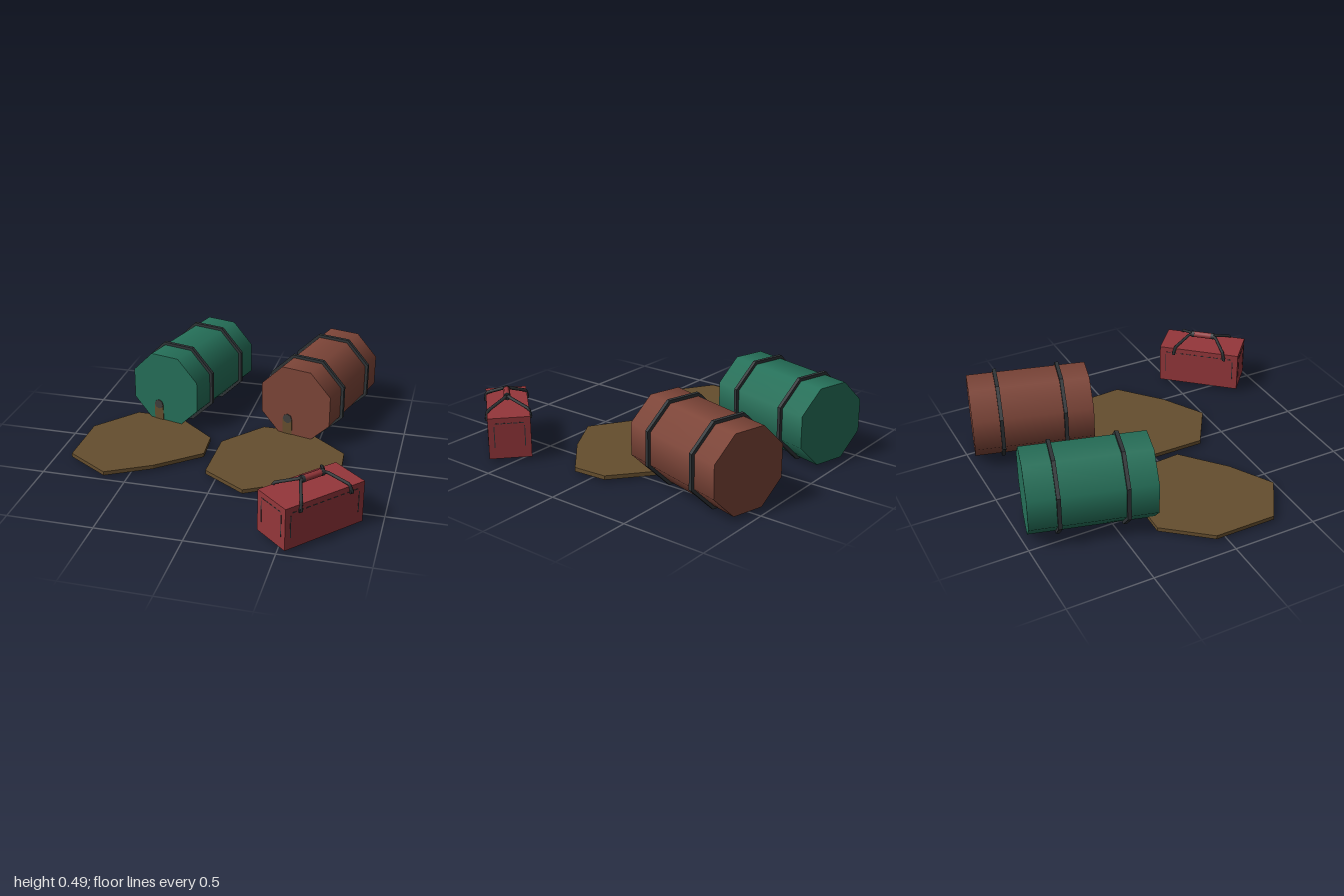
import * as THREE from 'three';

const paint = (name, color) => {
  const m = new THREE.MeshStandardMaterial({ color });
  m.name = name;
  return m;
};

export function createModel() {
  const root = new THREE.Group();
  root.name = 'barrelsAndBag';
  const green = paint('barrel green', 0x257059);
  const rust = paint('barrel rust', 0x7d4538);
  const iron = paint('dark iron', 0x2f3437);
  const soot = paint('hole grey', 0x403f3d);
  const mud = paint('spill brown', 0x654e2e);
  const red = paint('bag red', 0x94363a);

  const add = (parent, name, geo, mat, x = 0, y = 0, z = 0) => {
    const m = new THREE.Mesh(geo, mat);
    m.name = name;
    m.position.set(x, y, z);
    parent.add(m);
    return m;
  };

  // octagon with a flat top, given the distance from centre to side
  const octagon = (apothem, Type = THREE.Shape) => {
    const r = apothem / Math.cos(Math.PI / 8);
    const pts = [];
    for (let i = 0; i < 8; i++) {
      const a = (i + 0.5) * Math.PI / 4;
      pts.push(new THREE.Vector2(r * Math.cos(a), r * Math.sin(a)));
    }
    return new Type(pts);
  };

  // barrel lying along z, with two hoops and a leaking hole
  const hoopShape = octagon(0.247);
  hoopShape.holes.push(octagon(0.225, THREE.Path));
  const hoopGeo = new THREE.ExtrudeGeometry(hoopShape, { depth: 0.022, bevelEnabled: false });
  hoopGeo.translate(0, 0, -0.011);
  const bodyGeo = new THREE.CylinderGeometry(0.248, 0.248, 0.713, 8);
  bodyGeo.rotateY(Math.PI / 8).rotateX(Math.PI / 2);

  const makeBarrel = (name, mat, x) => {
    const g = new THREE.Group();
    g.name = name;
    g.position.set(x, 0.249, -0.595);
    g.rotation.y = -0.26;
    add(g, 'barrelBody', bodyGeo, mat);
    for (const z of [-0.188, 0.188]) add(g, 'hoop', hoopGeo, iron, 0, 0, z);
    add(g, 'leakStreak', new THREE.BoxGeometry(0.062, 0.115, 0.006), mud, -0.05, -0.165, 0.358);
    const hole = add(g, 'leakHole', new THREE.CylinderGeometry(0.03, 0.03, 0.008, 8), soot, -0.05, -0.108, 0.358);
    hole.rotation.x = Math.PI / 2;
    root.add(g);
  };

  // flat spill on the ground in front of each barrel
  const spillShape = new THREE.Shape([
    [-0.895, -0.06], [-0.895, 0.31], [-0.635, 0.475], [-0.38, 0.33],
    [-0.13, 0.115], [-0.145, -0.09], [-0.41, -0.31], [-0.685, -0.315],
  ].map(([x, z]) => new THREE.Vector2(x, -z)));
  const spillGeo = new THREE.ExtrudeGeometry(spillShape, { depth: 0.024, bevelEnabled: false });
  spillGeo.rotateX(-Math.PI / 2);

  const gap = 0.828;
  makeBarrel('greenBarrel', green, -0.388);
  makeBarrel('rustBarrel', rust, -0.388 + gap);
  for (const dx of [0, gap]) add(root, 'spill', spillGeo, mud, dx, 0.014, 0);

  // bag: long side along its own x
  const bag = new THREE.Group();
  bag.name = 'bag';
  bag.position.set(0.626, 0, 0.716);
  bag.rotation.y = 0.84;
  root.add(bag);
  const L = 0.52, H = 0.248, W = 0.244, top = 0.27;
  add(bag, 'bagBody', new THREE.BoxGeometry(L, H, W), red, 0, top - H / 2, 0);

  // stitches: a dashed row under the top edge and a seam down each side
  const seamPanel = (width, depth, angle) => {
    const g = new THREE.Group();
    g.name = 'stitching';
    g.rotation.y = angle;
    const half = width / 2 - 0.035;
    const n = Math.round(width / 0.05);
    for (let i = 0; i < n; i++) {
      const x = -half + (i + 0.5) * (2 * half / n);
      add(g, 'stitch', new THREE.BoxGeometry(0.026, 0.005, 0.003), iron, x, 0.236, depth);
    }
    for (const s of [-1, 1]) add(g, 'seam', new THREE.BoxGeometry(0.005, 0.13, 0.003), iron, s * half, 0.155, depth);
    bag.add(g);
  };
  for (const s of [0, 1]) {
    seamPanel(L, W / 2, s * Math.PI);
    seamPanel(W, L / 2, (s + 0.5) * Math.PI);
  }

  // handle: red grip with a forked strap at each end
  const grip = add(bag, 'grip', new THREE.CylinderGeometry(0.02, 0.02, 0.12, 8), red, 0, 0.328, 0);
  grip.rotation.z = Math.PI / 2;
  for (const sx of [-1, 1]) {
    const cuff = add(bag, 'gripCuff', new THREE.CylinderGeometry(0.021, 0.021, 0.02, 8), iron, sx * 0.065, 0.328, 0);
    cuff.rotation.z = Math.PI / 2;
    for (const sz of [-1, 1]) {
      const path = new THREE.CurvePath();
      const pts = [[0.06, 0.334, 0], [0.09, 0.326, 0.02], [0.158, 0.28, 0.118], [0.168, 0.235, 0.127]]
        .map(([x, y, z]) => new THREE.Vector3(sx * x, y, sz * z));
      for (let i = 1; i < pts.length; i++) path.add(new THREE.LineCurve3(pts[i - 1], pts[i]));
      add(bag, 'strap', new THREE.TubeGeometry(path, 16, 0.01, 6), iron);
      add(bag, 'strapEnd', new THREE.BoxGeometry(0.02, 0.02, 0.018), iron, sx * 0.168, 0.237, sz * 0.124);
    }
  }
  return root;
}
